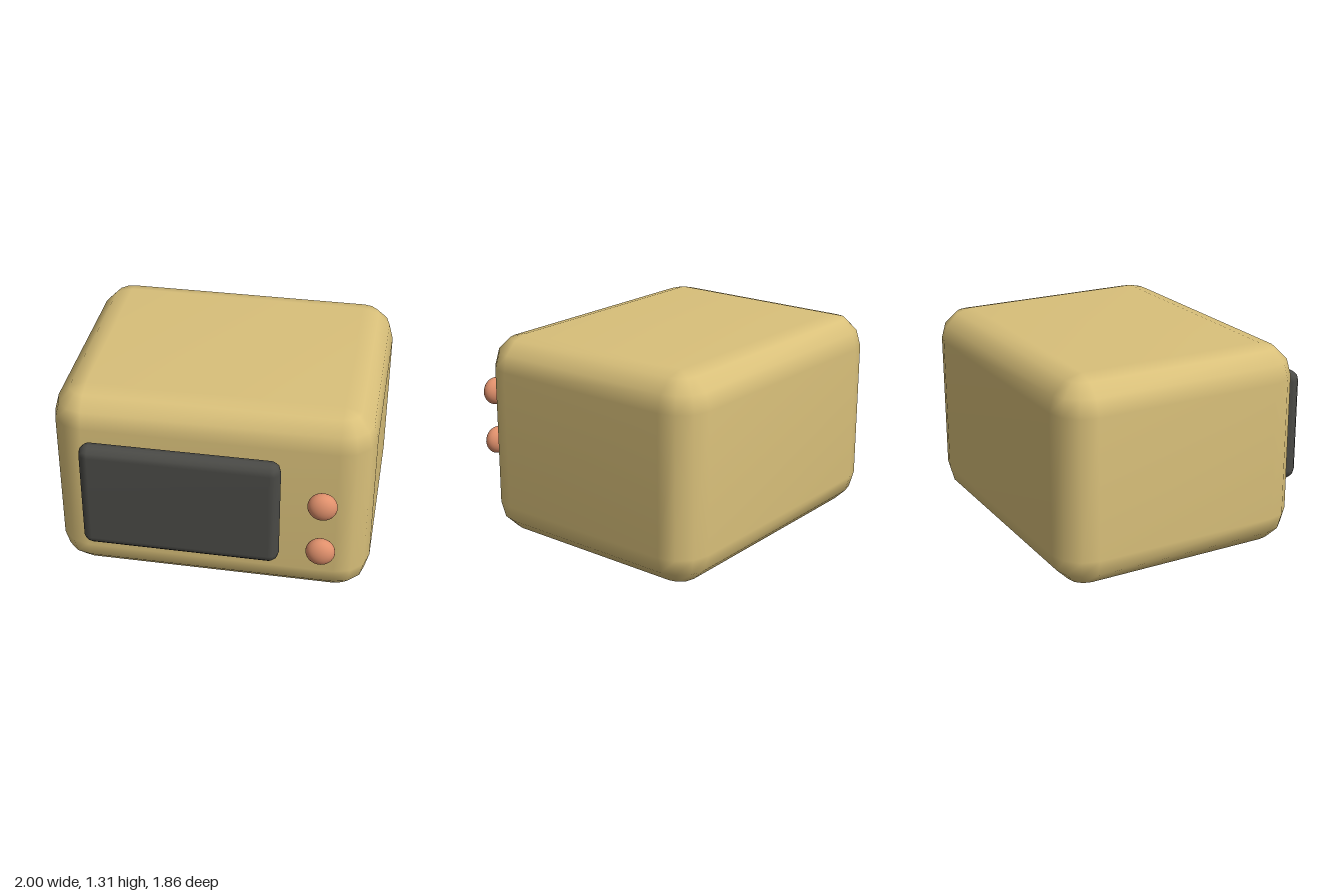
import * as THREE from 'three';
import { mergeVertices } from 'three/addons/utils/BufferGeometryUtils.js';

// Box with every edge rounded in `steps` facets: a sphere grid whose octants are pushed apart.
function bevelledBox(w, h, d, r, steps = 3) {
  const n = steps + 1, cols = 4 * n, rows = 2 * n + 1;
  const geo = new THREE.PlaneGeometry(1, 1, cols, rows);
  const pos = geo.attributes.position;
  for (let j = 0; j <= rows; j++) {
    const cap = j === 0 || j === rows;
    const k = THREE.MathUtils.clamp(j - 1, 0, 2 * n - 1);
    const half = Math.floor(k / n);
    const theta = (half + (k % n) / steps) * Math.PI / 2;
    const sy = half ? -1 : 1;
    for (let i = 0; i <= cols; i++) {
      const corner = Math.floor(i / n) % 4;
      const phi = (corner + (i % n) / steps) * Math.PI / 2;
      const sx = corner < 2 ? 1 : -1;
      const sz = corner === 0 || corner === 3 ? 1 : -1;
      const ring = r * Math.sin(theta);
      pos.setXYZ(j * (cols + 1) + i,
        cap ? 0 : sx * (w / 2 - r) + ring * Math.sin(phi),
        sy * (h / 2 - r) + r * Math.cos(theta),
        cap ? 0 : sz * (d / 2 - r) + ring * Math.cos(phi));
    }
  }
  geo.deleteAttribute('uv');
  geo.deleteAttribute('normal');
  const merged = mergeVertices(geo, 1e-4);
  merged.computeVertexNormals();
  return merged;
}

export function createModel() {
  const model = new THREE.Group();
  const add = (name, geometry, color, x, y, z) => {
    const mesh = new THREE.Mesh(geometry, new THREE.MeshStandardMaterial({ color }));
    mesh.name = name;
    mesh.position.set(x, y, z);
    model.add(mesh);
    return mesh;
  };

  // Casing
  add('casing', bevelledBox(2, 1.31, 1.63, 0.21), 0xd9c07a, 0, 0.655, -0.115);

  // Door panel, standing just clear of the casing
  add('door', bevelledBox(1.235, 0.73, 0.13, 0.063), 0x4a4a46, -0.163, 0.695, 0.785);

  // Flattened control knobs
  const knob = new THREE.SphereGeometry(0.09, 32, 16).scale(1, 1, 0.7);
  [['upperKnob', 0.84], ['lowerKnob', 0.5]].forEach(([name, y]) =>
    add(name, knob, 0xe0906c, 0.717, y, 0.867));

  return model;
}
